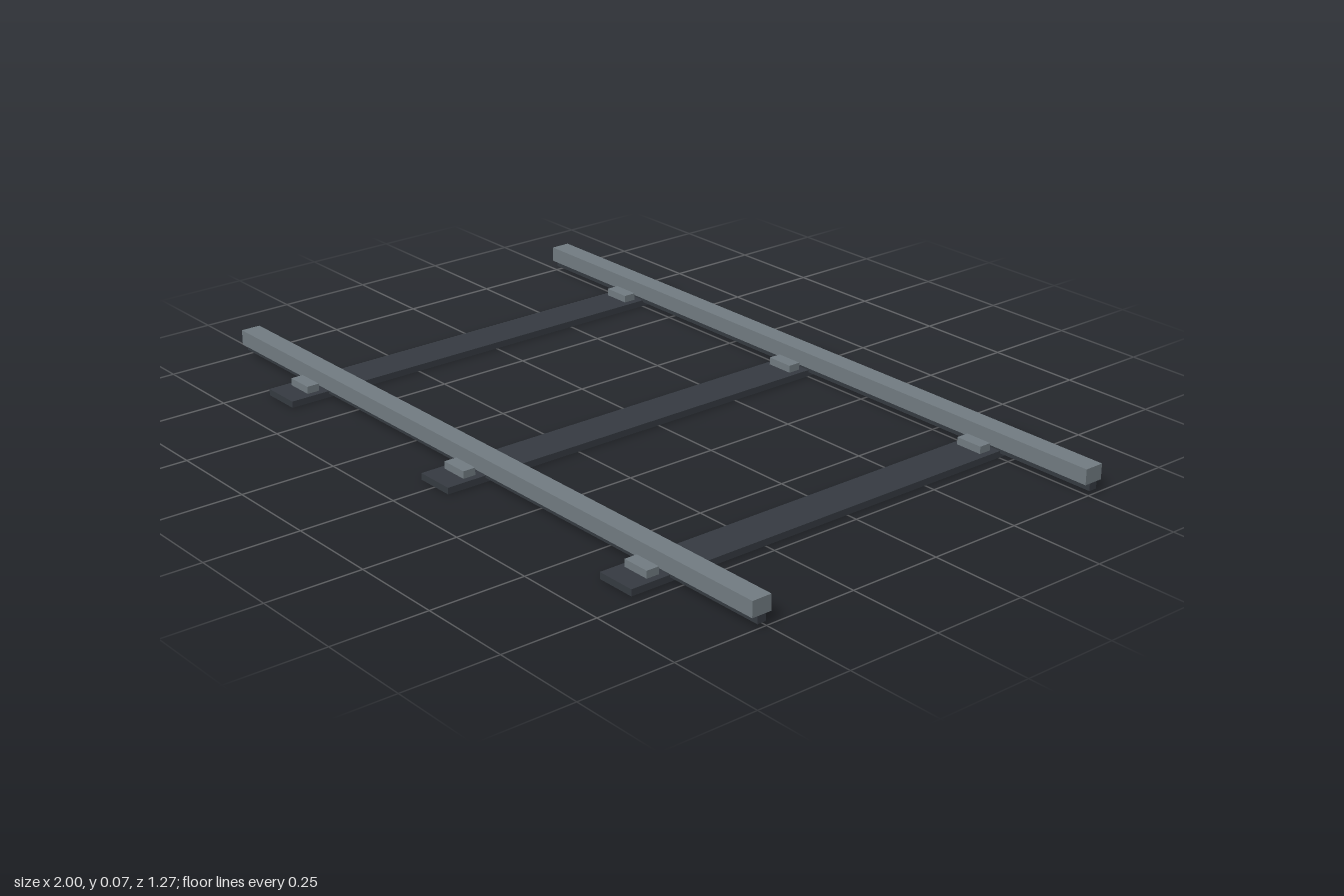
import * as THREE from 'three';

const paint = (name, color) => {
  const m = new THREE.MeshStandardMaterial({ color });
  m.name = name;
  return m;
};

export function createModel() {
  const model = new THREE.Group();
  model.name = 'trackSection';
  const steel = paint('railSteel', 0x737d83);
  const dark = paint('darkSteel', 0x363b42);

  // Box given by its centre in x and z, its bottom and its top
  const addBox = (name, material, x, z, bottom, top, width, depth) => {
    const mesh = new THREE.Mesh(new THREE.BoxGeometry(width, top - bottom, depth), material);
    mesh.name = name;
    mesh.position.set(x, (bottom + top) / 2, z);
    model.add(mesh);
  };

  const sleeperXs = [-0.667, 0, 0.667];
  const railZ = 0.514;

  // Flat cross ties
  for (const x of sleeperXs) addBox('sleeper', dark, x, 0, 0, 0.017, 0.107, 1.266);

  for (const side of [-1, 1]) {
    const z = side * railZ;
    // Rail: wide head on a narrow dark web
    addBox('railHead', steel, 0, z, 0.03, 0.07, 2, 0.053);
    addBox('railWeb', dark, 0, z, 0.011, 0.03, 2, 0.023);

    // Clips on both sides of the rail at every sleeper
    for (const x of sleeperXs) {
      for (const edge of [-1, 1]) {
        addBox('railClip', steel, x, z + edge * 0.0465, 0.018, 0.037, 0.075, 0.034);
      }
    }
  }
  return model;
}
